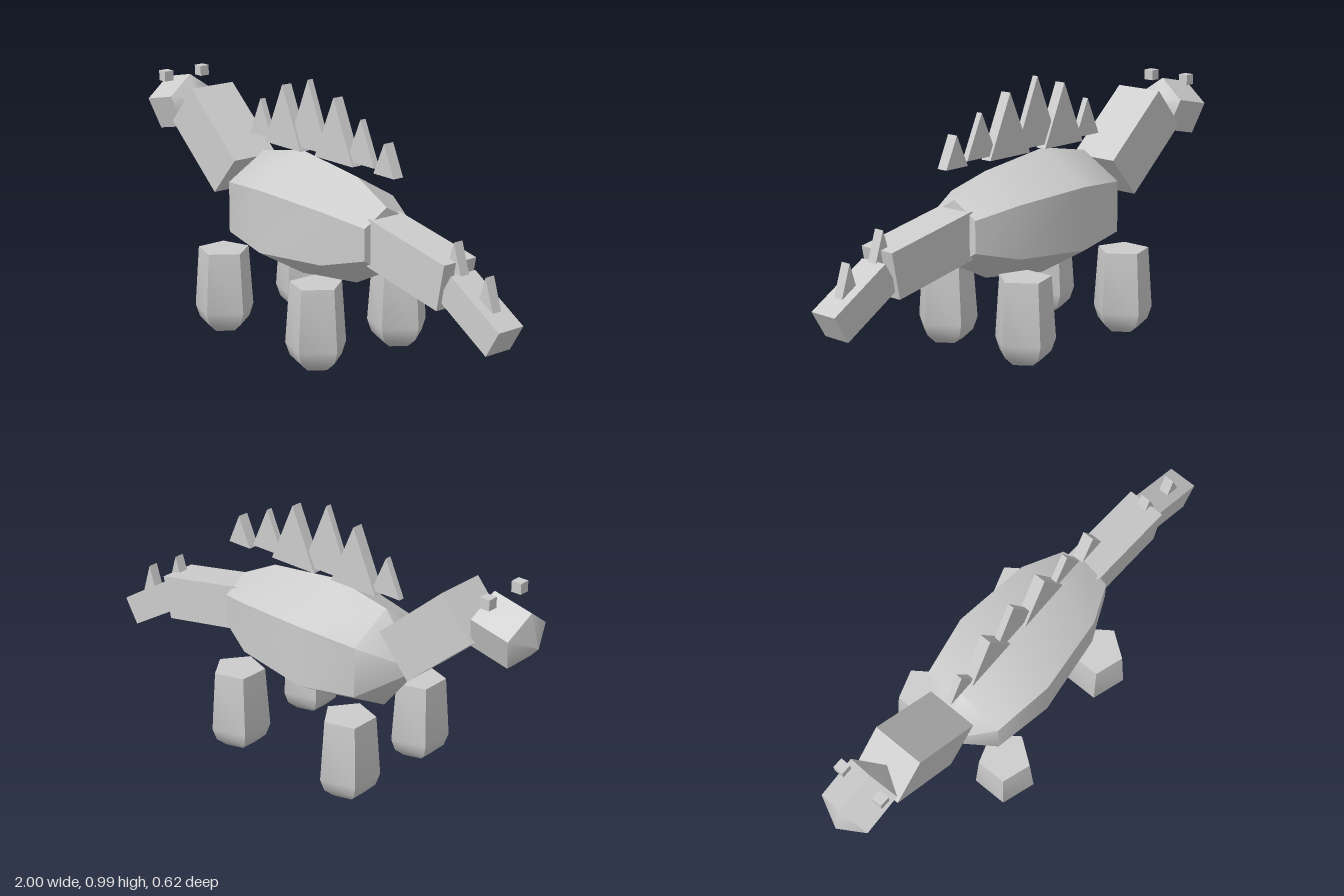
import * as THREE from 'three';
import { toCreasedNormals } from 'three/addons/utils/BufferGeometryUtils.js';

export function createModel() {
  const model = new THREE.Group();
  const grey = new THREE.MeshStandardMaterial({ color: 0xcccccc });
  grey.name = 'plainGrey';

  const add = (name, geometry, x, y, z = 0, tilt = 0) => {
    const mesh = new THREE.Mesh(geometry, grey);
    mesh.name = name;
    mesh.position.set(x, y, z);
    mesh.rotation.z = THREE.MathUtils.degToRad(tilt);
    model.add(mesh);
    return mesh;
  };

  // Few-sided turned solid; profile is [radius, height] from bottom to top
  const turned = (profile, sides, start) => new THREE.LatheGeometry(
    profile.map(([r, h]) => new THREE.Vector2(r, h)), sides, start);
  const crease = (geometry) => toCreasedNormals(geometry, THREE.MathUtils.degToRad(50));

  // Triangular plate standing on its base, centred in z
  const spike = (name, x, y, halfWidth, height, halfDepth) => {
    const shape = new THREE.Shape();
    shape.moveTo(-halfWidth, 0);
    shape.lineTo(halfWidth, 0);
    shape.lineTo(0, height);
    shape.closePath();
    const geometry = new THREE.ExtrudeGeometry(shape, { depth: 2 * halfDepth, bevelEnabled: false });
    geometry.translate(0, 0, -halfDepth);
    add(name, geometry, x, y);
  };

  // Hexagonal body lying along x, closed at the tail end
  const body = turned([[0, -0.49], [0.195, -0.335], [0.24, -0.1], [0.2, 0.21], [0.12, 0.37], [0, 0.37]], 6, Math.PI / 2);
  body.rotateZ(-Math.PI / 2);
  add('body', crease(body), 0, 0.475);

  // Five-sided head on a slightly tilted axis
  const head = turned([[0, -0.14], [0.111, -0.08], [0.111, 0.08], [0, 0.14]], 5, -Math.PI / 2);
  head.rotateZ(-Math.PI / 2);
  add('head', crease(head), -0.864, 0.765, 0, 12);

  // Neck and tail blocks
  add('neck', new THREE.BoxGeometry(0.36, 0.2, 0.2), -0.591, 0.675, 0, -41);
  add('tailBase', new THREE.BoxGeometry(0.4, 0.175, 0.152), 0.534, 0.439, 0, -11.2);
  add('tailTip', new THREE.BoxGeometry(0.274, 0.115, 0.116), 0.85, 0.328, 0, -31);

  // Eyes and legs, mirrored left and right of the midline
  const eye = new THREE.BoxGeometry(0.04, 0.04, 0.04);
  const leg = crease(turned([[0, 0], [0.06, 0], [0.1, 0.034], [0.117, 0.082], [0.1, 0.316], [0, 0.316]], 5, Math.PI / 2));
  for (const side of [1, -1]) {
    add('eye', eye, -0.848, 0.89, side * 0.087);
    add('headEndLeg', leg, -0.335, 0, side * 0.198);
    add('tailEndLeg', leg, 0.216, 0, side * 0.198);
  }

  // Row of back plates: x, base height, half width, height, half depth
  [
    [-0.34, 0.728, 0.065, 0.143, 0.012],
    [-0.195, 0.713, 0.106, 0.237, 0.022],
    [-0.057, 0.728, 0.112, 0.262, 0.012],
    [0.1, 0.713, 0.106, 0.237, 0.022],
    [0.238, 0.728, 0.076, 0.165, 0.012],
    [0.375, 0.714, 0.054, 0.118, 0.022],
  ].forEach((p) => spike('backPlate', ...p));

  // Tail spikes
  spike('tailSpike', 0.735, 0.437, 0.038, 0.118, 0.02);
  spike('tailSpike', 0.89, 0.35, 0.038, 0.118, 0.02);

  return model;
}
